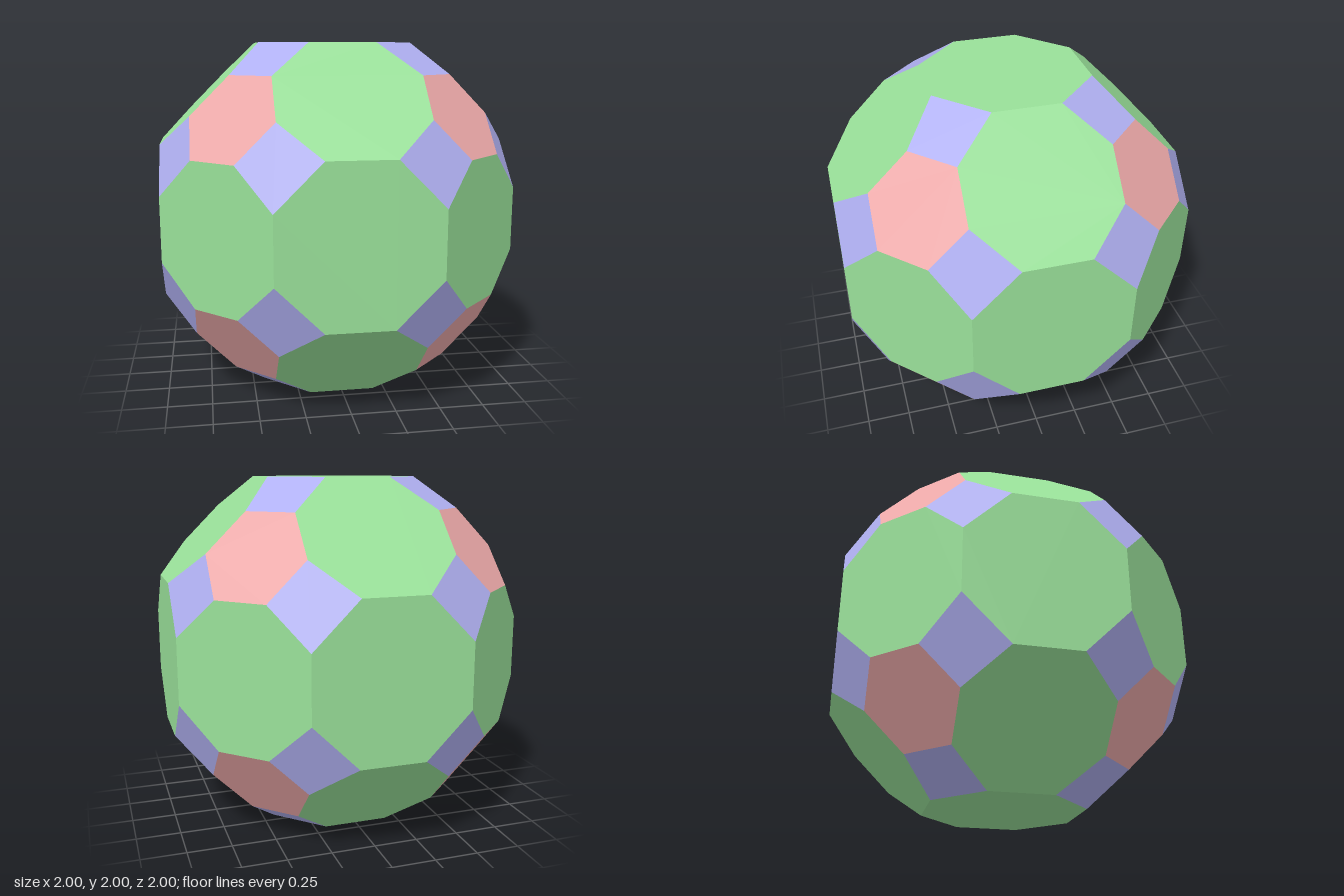
import * as THREE from 'three';

// All distinct signed permutations of a triple
function orbit(p) {
  const found = new Map();
  for (const [i, j, k] of [[0, 1, 2], [0, 2, 1], [1, 0, 2], [1, 2, 0], [2, 0, 1], [2, 1, 0]])
    for (const sx of [1, -1]) for (const sy of [1, -1]) for (const sz of [1, -1]) {
      const v = new THREE.Vector3(sx * p[i] + 0, sy * p[j] + 0, sz * p[k] + 0);
      found.set(v.toArray().map(c => c.toFixed(4).replace('-0.0000', '0.0000')).join(), v);
    }
  return [...found.values()];
}

// The 96 corners: one octagon ring per axis face, one hexagon ring per octant
const corners = [...orbit([0.183, 0.436, 1]), ...orbit([0.4, 0.61, 0.826])];

// The corners lying furthest along a direction, in counter-clockwise order
function faceCorners(dir) {
  const n = dir.clone().normalize();
  const far = Math.max(...corners.map(c => c.dot(n)));
  const ring = corners.filter(c => c.dot(n) > far - 0.003);
  const centre = ring.reduce((s, c) => s.add(c), new THREE.Vector3()).divideScalar(ring.length);
  const u = ring[0].clone().sub(centre).projectOnPlane(n).normalize();
  const v = n.clone().cross(u);
  const angle = c => {
    const d = c.clone().sub(centre);
    return Math.atan2(d.dot(v), d.dot(u));
  };
  return ring.map(c => [angle(c), c]).sort((a, b) => a[0] - b[0]).map(e => e[1]);
}

// One mesh holding every face of a kind, each face as a triangle fan
function facesMesh(name, normal, color) {
  const points = [];
  for (const dir of orbit(normal)) {
    const ring = faceCorners(dir);
    for (let i = 1; i < ring.length - 1; i++) points.push(ring[0], ring[i], ring[i + 1]);
  }
  const geometry = new THREE.BufferGeometry().setFromPoints(points);
  geometry.computeVertexNormals();
  const mesh = new THREE.Mesh(geometry, new THREE.MeshStandardMaterial({ color, flatShading: true }));
  mesh.name = name;
  mesh.position.y = 1;
  return mesh;
}

export function createModel() {
  const group = new THREE.Group();
  group.name = 'truncatedPolyhedron';
  const green = 0x99e099, red = 0xeeaaaa, blue = 0xb0b0f2;
  group.add(
    facesMesh('axisOctagons', [0, 0, 1], green),
    facesMesh('diagonalOctagons', [0, 1, 1], green),
    facesMesh('cornerHexagons', [1, 1, 1], red),
    facesMesh('squareFaces', [1, 1, 2.247], blue),
  );
  return group;
}
